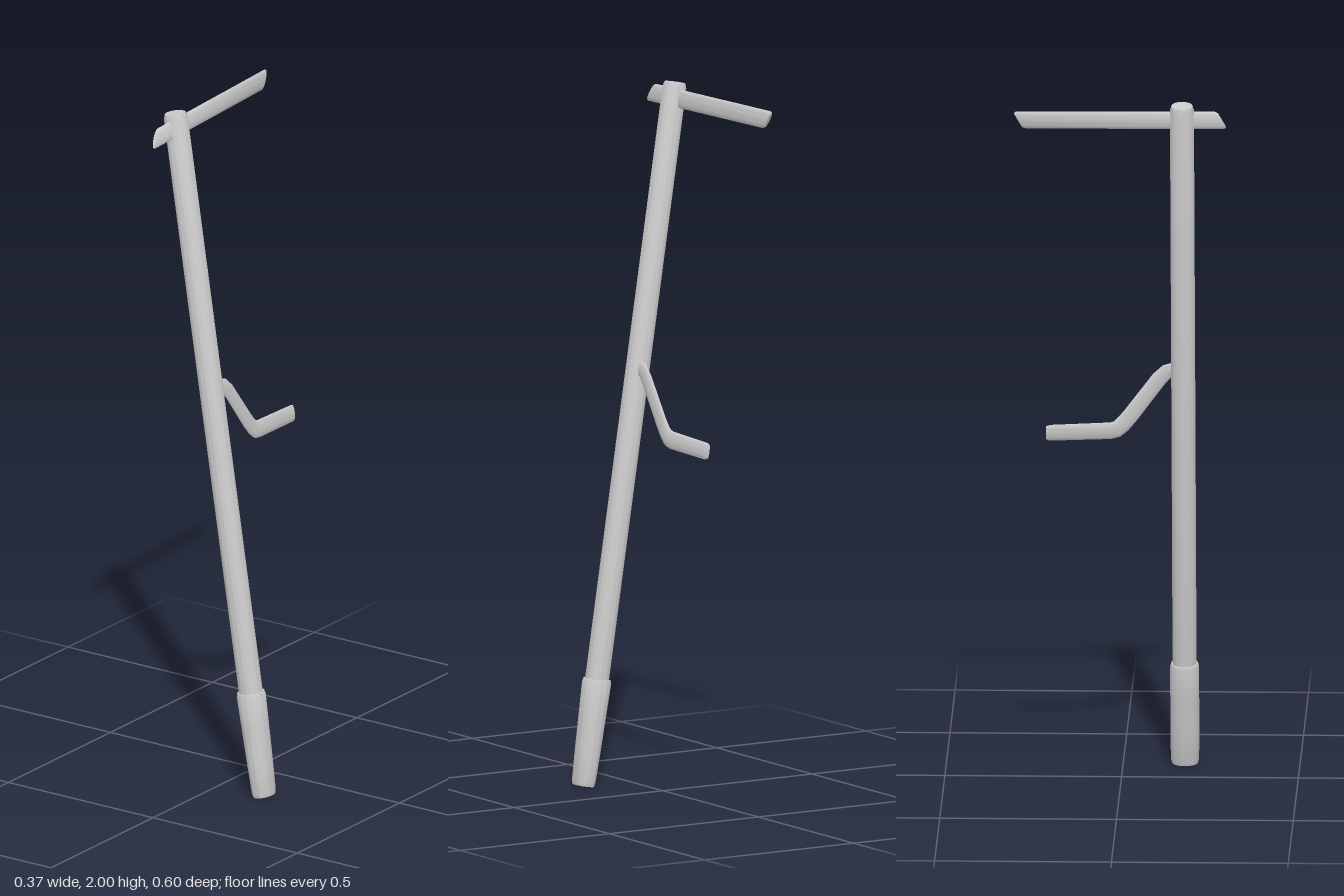
import * as THREE from 'three';
import { toCreasedNormals } from 'three/addons/utils/BufferGeometryUtils.js';

const LEAN = 0.155; // sideways lean of the shaft per unit of height

function makeMesh(name, geometry) {
  const mesh = new THREE.Mesh(toCreasedNormals(geometry, 0.6),
    new THREE.MeshStandardMaterial({ color: 0xcccccc }));
  mesh.name = name;
  return mesh;
}

function lathe(profile) {
  return new THREE.LatheGeometry(profile.map(([r, y]) => new THREE.Vector2(r, y)), 40);
}

// Loft of flattened oval sections running towards -z.
// Each section: centre x, y, z, half-height vector (y, z), half thickness.
function loftOval(sections, sides = 24) {
  const pos = [], index = [];
  for (const [x, y, z, uy, uz, t] of sections) {
    for (let j = 0; j < sides; j++) {
      const a = (j / sides) * Math.PI * 2, c = Math.cos(a), s = Math.sin(a);
      pos.push(x + c * t - s * uy * LEAN, y + s * uy, z + s * uz);
    }
  }
  const last = sections.length - 1, cap = sections.length * sides;
  for (const k of [0, last]) pos.push(...sections[k].slice(0, 3));
  for (let j = 0; j < sides; j++) {
    const n = (j + 1) % sides;
    for (let i = 0; i < last; i++) {
      const a = i * sides + j, b = i * sides + n;
      index.push(a, a + sides, b, b, a + sides, b + sides);
    }
    index.push(cap, j, n, cap + 1, last * sides + n, last * sides + j);
  }
  const g = new THREE.BufferGeometry();
  g.setAttribute('position', new THREE.Float32BufferAttribute(pos, 3));
  g.setIndex(index);
  return g;
}

export function createModel() {
  const model = new THREE.Group();
  model.name = 'polearm';

  // Leaning shaft with its foot sleeve
  const pole = new THREE.Group();
  pole.name = 'pole';
  pole.position.set(0.156, 0.005, 0.175);
  pole.rotation.z = Math.atan(LEAN);
  model.add(pole);

  pole.add(makeMesh('shaft', lathe([
    [0, 0.2], [0.034, 0.2], [0.034, 2.0], [0.03, 2.013], [0, 2.013],
  ])));

  // Sleeve: hollow foot, narrowing sideways towards the ground
  const sleeve = lathe([
    [0, 0.04], [0.033, 0.04], [0.034, 0], [0.037, 0], [0.04, 0.012],
    [0.041, 0.1], [0.041, 0.2], [0.041, 0.295], [0.038, 0.305], [0.03, 0.305],
  ]);
  const p = sleeve.attributes.position;
  for (let i = 0; i < p.count; i++) {
    const k = Math.min(p.getY(i) / 0.295, 1);
    p.setX(i, p.getX(i) * (0.76 + 0.26 * k));
  }
  pole.add(makeMesh('footSleeve', sleeve));

  // Flattened crossbar through the top, with slanted ends
  model.add(makeMesh('crossbar', loftOval([
    [-0.143, 1.951, 0.288, 0.022, -0.012, 0.005],
    [-0.143, 1.951, 0.281, 0.026, -0.014, 0.008],
    [-0.169, 1.954, -0.279, 0.026, -0.014, 0.008],
    [-0.17, 1.954, -0.288, 0.022, -0.012, 0.005],
  ])));

  // Bent flat handle behind the middle of the shaft
  model.add(makeMesh('handle', loftOval([
    [-0.017, 1.195, 0.155, 0.022, 0.004, 0.006],
    [-0.015, 1.187, 0.13, 0.018, -0.012, 0.006],
    [-0.014, 1.165, 0.107, 0.015, -0.017, 0.006],
    [-0.01, 1.055, 0.025, 0.015, -0.018, 0.007],
    [-0.009, 1.03, 0.004, 0.019, -0.015, 0.007],
    [-0.009, 1.016, -0.012, 0.024, -0.008, 0.007],
    [-0.01, 1.011, -0.03, 0.025, -0.002, 0.007],
    [-0.015, 1.005, -0.202, 0.024, 0, 0.006],
    [-0.016, 1.005, -0.213, 0.02, 0, 0.004],
  ])));

  return model;
}
